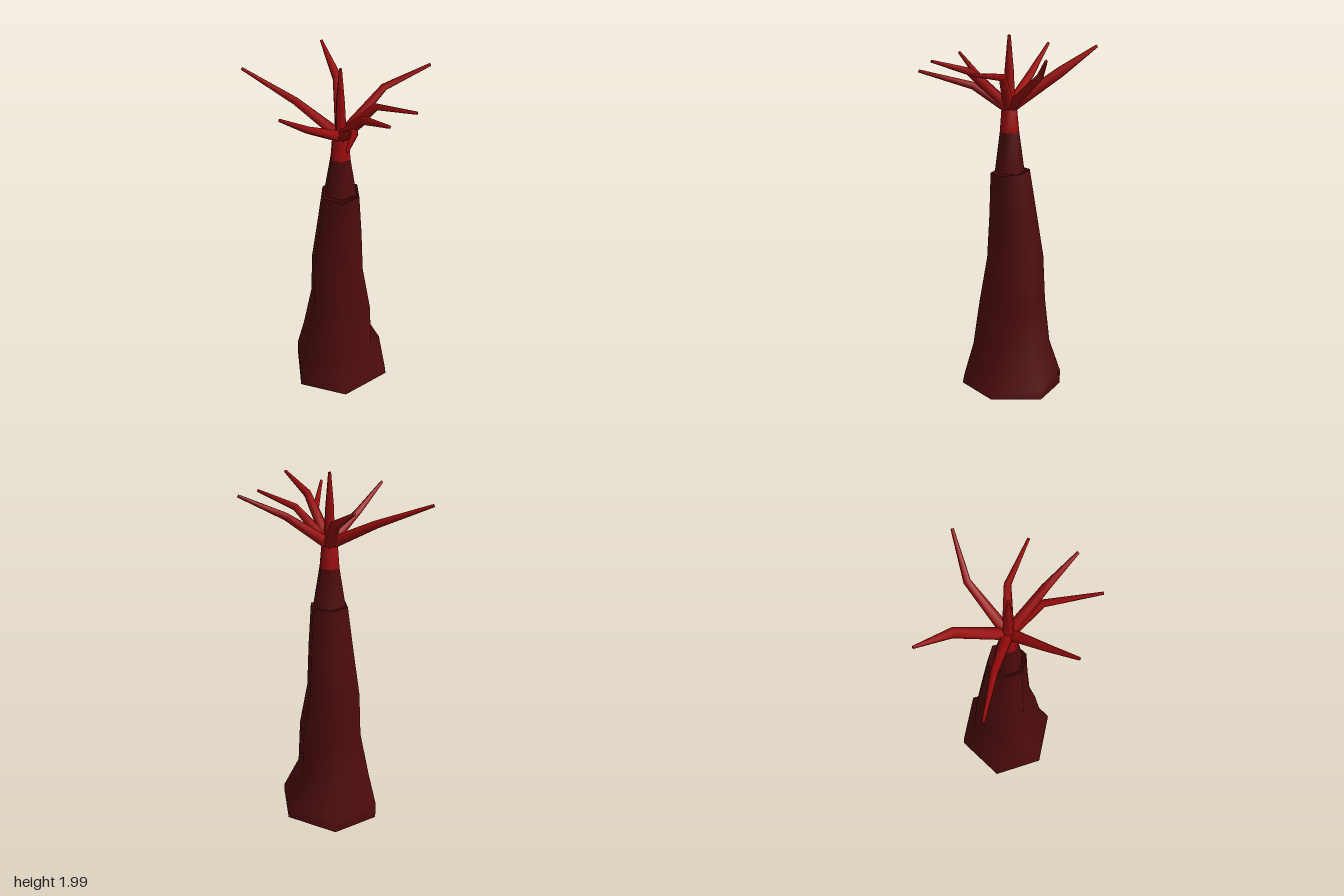
import * as THREE from 'three';

const SIDES = 6;
const darkBark = new THREE.MeshStandardMaterial({ color: 0x4e0b0d, side: THREE.DoubleSide });
const redBranch = new THREE.MeshStandardMaterial({ color: 0x980c0c, side: THREE.DoubleSide });

// Skin a list of six-point rings, from bottom to top
function loft(rings) {
  const index = [];
  for (let r = 0; r < rings.length - 1; r++) {
    for (let i = 0; i < SIDES; i++) {
      const j = (i + 1) % SIDES;
      const a = r * SIDES + i, b = r * SIDES + j;
      index.push(a, b, b + SIDES, a, b + SIDES, a + SIDES);
    }
  }
  const geometry = new THREE.BufferGeometry().setFromPoints(rings.flat());
  geometry.setIndex(index);
  geometry.computeVertexNormals();
  return geometry;
}

// Hexagon with corners towards +z and -z
function hexagon(fn) {
  return Array.from({ length: SIDES }, (_, i) => {
    const a = (i / SIDES) * Math.PI * 2;
    return fn(Math.sin(a), Math.cos(a));
  });
}

// Ring given by its height and its limits in x and z
function ring([y, x0, x1, z0, z1], tiltX = 0, tiltZ = 0) {
  return hexagon((s, c) => {
    const x = (x0 + x1) / 2 + ((x1 - x0) / 2) * (s / 0.866);
    const z = (z0 + z1) / 2 + ((z1 - z0) / 2) * c;
    return new THREE.Vector3(x, y + tiltX * x + tiltZ * z, z);
  });
}

// Tapered branch through a list of points, closed at the tip
function branch(points, radii) {
  const up = new THREE.Vector3(0, 1, 0);
  const rings = points.map((p, k) => {
    const prev = points[Math.max(k - 1, 0)];
    const next = points[Math.min(k + 1, points.length - 1)];
    const q = new THREE.Quaternion().setFromUnitVectors(up, next.clone().sub(prev).normalize());
    return hexagon((s, c) => new THREE.Vector3(s, 0, c).multiplyScalar(radii[k]).applyQuaternion(q).add(p));
  });
  const tip = points[points.length - 1];
  rings.push(hexagon(() => tip.clone()));
  return loft(rings);
}

export function createModel() {
  const group = new THREE.Group();
  const add = (name, geometry, material) => {
    const mesh = new THREE.Mesh(geometry, material);
    mesh.name = name;
    group.add(mesh);
  };

  // Hollow, slightly crooked trunk, open at both ends, with tilted rims
  add('trunk', loft([
    ring([0.035, -0.238, 0.26, -0.29, 0.265], 0.09, 0.05),
    ring([0.1, -0.238, 0.257, -0.29, 0.255]),
    ring([0.28, -0.2, 0.175, -0.23, 0.2]),
    ring([0.54, -0.152, 0.165, -0.2, 0.165]),
    ring([0.79, -0.143, 0.125, -0.19, 0.12]),
    ring([1.04, -0.112, 0.115, -0.15, 0.107]),
    ring([1.28, -0.084, 0.1, -0.11, 0.1], 0, -0.08),
  ]), darkBark);

  // Neck: dark lower part and red upper part
  const neckSeam = ring([1.495, -0.043, 0.055, -0.053, 0.05]);
  const neckTop = ring([1.63, -0.034, 0.044, -0.04, 0.04]);
  const neckPeak = hexagon(() => new THREE.Vector3(0.005, 1.66, 0));
  add('lowerNeck', loft([ring([1.28, -0.075, 0.087, -0.082, 0.077]), neckSeam]), darkBark);
  add('upperNeck', loft([neckSeam, neckTop, neckPeak]), redBranch);

  // Branches: bend point, tip, radius at the bend
  const branches = [
    [[0.015, 1.81, -0.27], [-0.05, 1.93, -0.467], 0.027],
    [[-0.21, 1.76, -0.135], [-0.473, 1.89, -0.267], 0.021],
    [[0.24, 1.82, -0.13], [0.472, 1.935, -0.13], 0.019],
    [[0.175, 1.81, 0.05], [0.354, 1.855, 0.212], 0.02],
    [[0.095, 1.83, 0.21], [0.192, 1.9, 0.404], 0.022],
    [[0.055, 1.75, 0.19], [-0.01, 1.82, 0.467], 0.02],
    [[-0.17, 1.75, 0.14], [-0.307, 1.87, 0.242], 0.019],
    [[0.005, 1.82, 0], [0.005, 2, 0], 0.024],
  ];
  const root = new THREE.Vector3(0.008, 1.62, 0);
  branches.forEach(([bend, tip, radius], i) => {
    const points = [root, new THREE.Vector3(...bend), new THREE.Vector3(...tip)];
    add('branch' + (i + 1), branch(points, [0.032, radius, 0.008]), redBranch);
  });

  return group;
}
